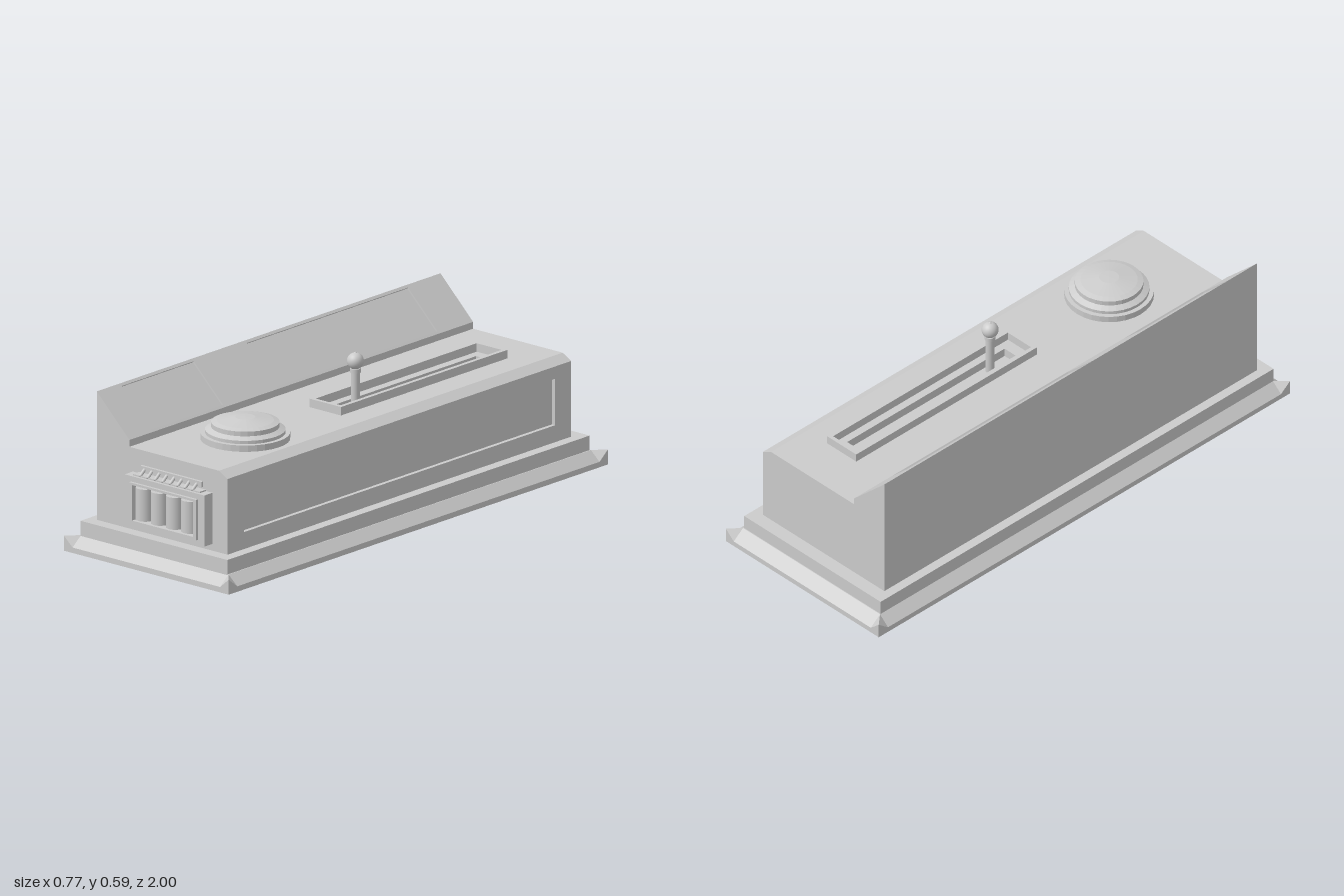
import * as THREE from 'three';

const material = new THREE.MeshStandardMaterial({ color: 0xcccccc });
const flat = new THREE.MeshStandardMaterial({ color: 0xcccccc, flatShading: true });
const thin = new THREE.MeshStandardMaterial({ color: 0xcccccc, flatShading: true, side: THREE.DoubleSide });

function add(parent, name, geometry, mat = material) {
  const mesh = new THREE.Mesh(geometry, mat);
  mesh.name = name;
  parent.add(mesh);
  return mesh;
}

// Box given by its limits on each axis
function box(parent, name, x0, x1, y0, y1, z0, z1) {
  const mesh = add(parent, name, new THREE.BoxGeometry(x1 - x0, y1 - y0, z1 - z0));
  mesh.position.set((x0 + x1) / 2, (y0 + y1) / 2, (z0 + z1) / 2);
  return mesh;
}

const rect = (C, x0, x1, y0, y1) =>
  new C([[x0, y0], [x1, y0], [x1, y1], [x0, y1]].map(p => new THREE.Vector2(...p)));

// Rectangular frame in the xy plane; outer and inner are [x0, x1, y0, y1]
function frame(outer, inner, depth) {
  const shape = rect(THREE.Shape, ...outer);
  shape.holes.push(rect(THREE.Path, ...inner));
  return new THREE.ExtrudeGeometry(shape, { depth, bevelEnabled: false });
}

// Foot moulding: bevelled edges between raised corner points
function footMoulding() {
  const X = 0.383, x = 0.343, Z = 1, z = 0.955, low = 0.02, top = 0.055;
  const pos = [];
  const tri = (...p) => p.forEach(v => pos.push(...v));
  const quad = (a, b, c, d) => { tri(a, b, c); tri(a, c, d); };
  const corner = (sx, sz) => ({
    B: [sx * X, 0, sz * Z], T: [sx * X, top, sz * Z], I: [sx * x, top, sz * z],
    F: [sx * x, low, sz * Z], G: [sx * x, 0, sz * Z],
    S: [sx * X, low, sz * z], H: [sx * X, 0, sz * z],
  });
  for (const sx of [-1, 1]) for (const sz of [-1, 1]) {
    const c = corner(sx, sz);
    tri(c.T, c.F, c.I);
    tri(c.T, c.I, c.S);
    quad(c.B, c.G, c.F, c.T);
    quad(c.B, c.T, c.S, c.H);
  }
  for (const s of [-1, 1]) {
    const l = corner(-1, s), r = corner(1, s), b = corner(s, -1), f = corner(s, 1);
    quad(l.F, r.F, r.I, l.I);
    quad(l.G, r.G, r.F, l.F);
    quad(b.S, f.S, f.I, b.I);
    quad(b.H, f.H, f.S, b.S);
  }
  const c = [corner(-1, -1), corner(1, -1), corner(1, 1), corner(-1, 1)];
  quad(...c.map(k => k.B));
  quad(...c.map(k => k.I));
  const g = new THREE.BufferGeometry();
  g.setAttribute('position', new THREE.Float32BufferAttribute(pos, 3));
  g.computeVertexNormals();
  return g;
}

// Cross-section of the housing, with optional notches for its recesses
function housingProfile(slopeRecess, slot, sideRecess) {
  const p = [[-0.308, 0.108], [0.3, 0.108]];
  if (sideRecess) p.push([0.3, 0.17], [0.285, 0.17], [0.285, 0.34], [0.3, 0.34]);
  p.push([0.3, 0.385], [0.26, 0.407]);
  if (slot) p.push([0.115, 0.407], [0.115, 0.375], [0.06, 0.375], [0.06, 0.407]);
  p.push([-0.156, 0.407], [-0.156, 0.432]);
  if (slopeRecess) {
    const nx = 0.0042, ny = 0.0043;
    p.push([-0.163, 0.439], [-0.163 - nx, 0.439 - ny], [-0.3 - nx, 0.57 - ny], [-0.3, 0.57]);
  }
  p.push([-0.308, 0.578]);
  return new THREE.Shape(p.map(q => new THREE.Vector2(...q)));
}

export function createModel() {
  const model = new THREE.Group();
  model.name = 'machine';

  // Stepped base
  add(model, 'footMoulding', footMoulding(), thin);
  box(model, 'plinth', -0.343, 0.34, 0.05, 0.108, -0.952, 0.958);

  // Housing, cut into lengths wherever a recess starts or ends
  const housing = new THREE.Group();
  housing.name = 'housing';
  model.add(housing);
  const cuts = [-0.9, -0.815, -0.72, -0.67, 0.095, 0.13, 0.41, 0.79, 0.825, 0.912];
  for (let i = 0; i < cuts.length - 1; i++) {
    const m = (cuts[i] + cuts[i + 1]) / 2;
    const within = (a, b) => m > a && m < b;
    const shape = housingProfile(within(-0.72, 0.13) || within(0.41, 0.79),
      within(-0.67, 0.095), within(-0.815, 0.825));
    const g = new THREE.ExtrudeGeometry(shape, { depth: cuts[i + 1] - cuts[i], bevelEnabled: false });
    add(housing, 'housingSection', g).position.z = cuts[i];
  }

  // Raised rim round the lever slot
  const rim = add(model, 'slotRim', frame([0.013, 0.159, -0.154, 0.725], [0.028, 0.144, -0.139, 0.71], 0.033));
  rim.rotation.x = -Math.PI / 2;
  rim.position.y = 0.405;

  // Lever with ball knob
  const lever = new THREE.Group();
  lever.name = 'lever';
  lever.position.set(0.09, 0, 0);
  model.add(lever);
  add(lever, 'leverRod', new THREE.CylinderGeometry(0.016, 0.016, 0.15, 20)).position.y = 0.45;
  add(lever, 'leverCollar', new THREE.CylinderGeometry(0.019, 0.019, 0.015, 20)).position.y = 0.522;
  add(lever, 'leverKnob', new THREE.SphereGeometry(0.03, 24, 16)).position.y = 0.556;
  add(lever, 'knobTip', new THREE.SphereGeometry(0.006, 10, 8)).position.y = 0.583;

  // Stepped round dome
  const domeProfile = [[0.157, 0.4], [0.157, 0.43], [0.141, 0.43], [0.141, 0.442], [0.12, 0.452],
    [0.12, 0.469], [0.1, 0.475], [0.035, 0.486], [0, 0.487]].map(p => new THREE.Vector2(...p));
  add(model, 'dome', new THREE.LatheGeometry(domeProfile, 32), flat).position.set(0.082, 0, 0.571);

  // Counter on the front: stepped bezel, floor and four drums
  const counter = new THREE.Group();
  counter.name = 'counter';
  model.add(counter);
  const opening = [-0.097, 0.187, 0.162, 0.292];
  add(counter, 'counterCase', frame([-0.14, 0.23, 0.133, 0.32], opening, 0.05)).position.z = 0.905;
  add(counter, 'counterBezel', frame([-0.11, 0.2, 0.152, 0.3], opening, 0.01)).position.z = 0.955;
  box(counter, 'counterFloor', -0.1, 0.19, 0.16, 0.295, 0.905, 0.93);
  for (let i = 0; i < 4; i++) {
    const drum = add(counter, 'drum', new THREE.CylinderGeometry(0.0325, 0.0325, 0.117, 28));
    drum.position.set(-0.06 + i * 0.0703, 0.228, 0.939);
  }

  // Row of small pegs above the counter
  box(counter, 'pegLedge', -0.11, 0.2, 0.315, 0.325, 0.905, 0.945);
  box(counter, 'pegRail', -0.098, 0.187, 0.333, 0.353, 0.905, 0.922);
  for (let i = 0; i < 8; i++) {
    const peg = add(counter, 'peg', new THREE.CapsuleGeometry(0.006, 0.026, 4, 10));
    peg.position.set(-0.079 + i * 0.0347, 0.333, 0.931);
    peg.rotation.x = -0.9;
  }

  return model;
}
